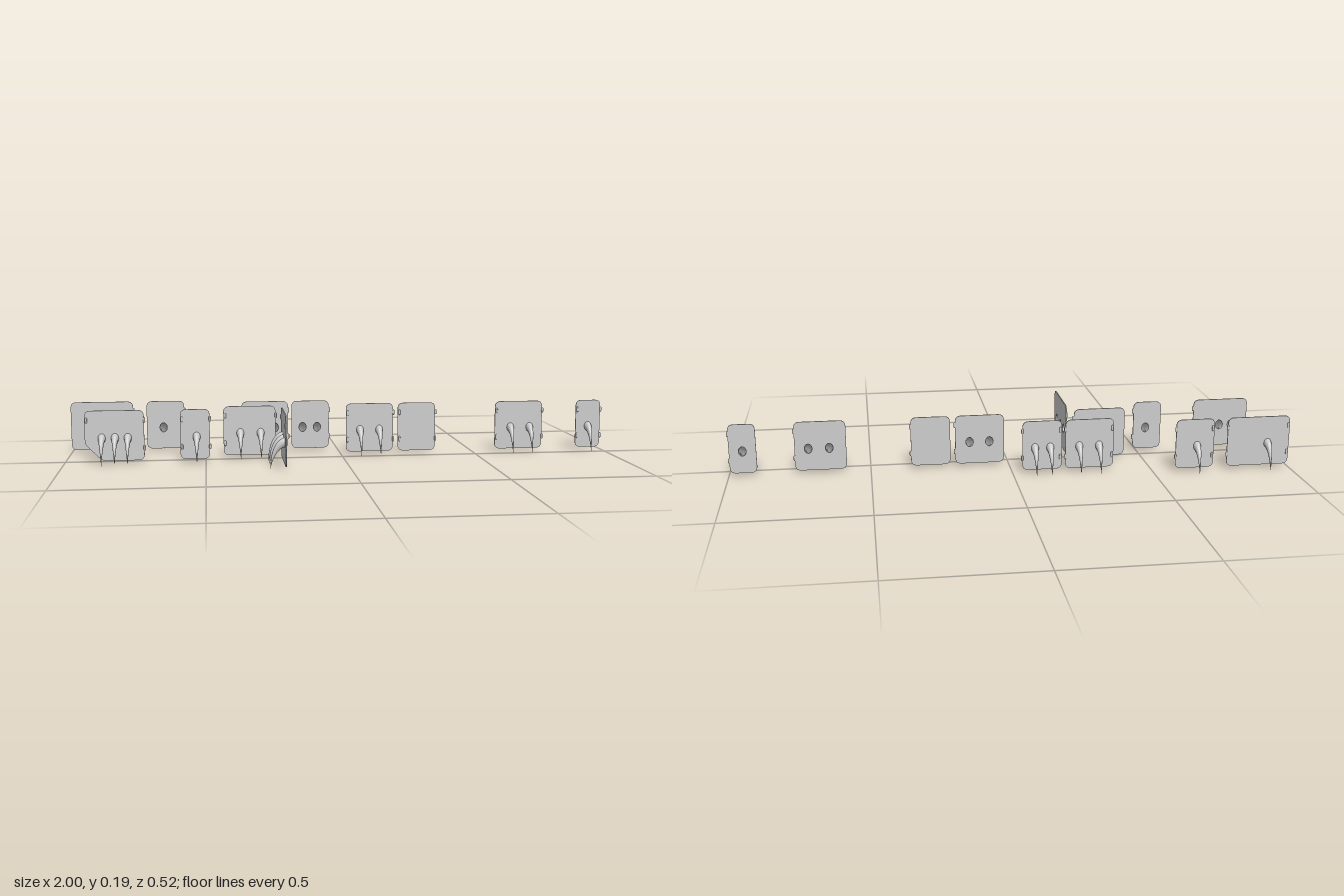
import * as THREE from 'three';
import { ParametricGeometry } from 'three/addons/geometries/ParametricGeometry.js';

const BOTTOM = 0.01, TOP = 0.19, THICK = 0.004, CORNER = 0.022;
const HORN_Y = 0.09, HORN_RX = 0.014, HORN_RY = 0.018;

const plateMaterial = new THREE.MeshStandardMaterial({ color: 0xcccccc });
const hornMaterial = new THREE.MeshStandardMaterial({ color: 0xcccccc, side: THREE.DoubleSide });

// Hollow horn: an elliptical section tapering along a curve that bends downwards
function hornGeometry() {
  const path = new THREE.CubicBezierCurve3(
    new THREE.Vector3(0, HORN_Y, 0), new THREE.Vector3(0, 0.087, 0.025),
    new THREE.Vector3(0, 0.05, 0.048), new THREE.Vector3(0, 0, 0.052));
  return new ParametricGeometry((t, v, out) => {
    const p = path.getPoint(t), dir = path.getTangent(t), a = -v * Math.PI * 2;
    const taper = Math.max(1 - t, 0.02);
    const w = Math.cos(a) * HORN_RX * taper, h = Math.sin(a) * HORN_RY * taper;
    out.set(p.x + w, p.y + h * dir.z, p.z - h * dir.y);
  }, 20, 24);
}

// Rounded plate outline with an oval opening behind each horn; cut slopes one lower corner
function plateGeometry(width, horns, cut) {
  const x = width / 2, r = CORNER, s = new THREE.Shape();
  s.moveTo(x - r, BOTTOM);
  s.quadraticCurveTo(x, BOTTOM, x, BOTTOM + r);
  s.lineTo(x, TOP - r);
  s.quadraticCurveTo(x, TOP, x - r, TOP);
  s.lineTo(-x + r, TOP);
  s.quadraticCurveTo(-x, TOP, -x, TOP - r);
  if (cut) {
    s.lineTo(-x, 0.085);
    s.quadraticCurveTo(-x, 0.07, -x + 0.01, 0.06);
    s.lineTo(-x + 0.05, BOTTOM + 0.01);
    s.quadraticCurveTo(-x + 0.06, BOTTOM, -x + 0.075, BOTTOM);
  } else {
    s.lineTo(-x, BOTTOM + r);
    s.quadraticCurveTo(-x, BOTTOM, -x + r, BOTTOM);
  }
  s.closePath();
  for (const h of horns) {
    const hole = new THREE.Path();
    hole.absellipse(h, HORN_Y, HORN_RX * 0.97, HORN_RY * 0.97, 0, Math.PI * 2, true);
    s.holes.push(hole);
  }
  const g = new THREE.ExtrudeGeometry(s, { depth: THICK, bevelEnabled: false, curveSegments: 12 });
  return g.translate(0, 0, -THICK / 2);
}

// Small upright fastening tab with rounded ends
function tabGeometry() {
  return new THREE.CapsuleGeometry(0.004, 0.012, 4, 10).scale(1, 1, 0.7);
}

const horn = hornGeometry(), tab = tabGeometry();

// One panel facing +z; tabSide is the edge where the tabs overhang
function makePanel(width, horns, tabSide, cut) {
  const panel = new THREE.Group();
  const add = (geometry, material, name, x = 0, y = 0, z = 0) => {
    const mesh = new THREE.Mesh(geometry, material);
    mesh.name = name;
    mesh.position.set(x, y, z);
    panel.add(mesh);
  };
  add(plateGeometry(width, horns, cut), plateMaterial, 'plate');
  for (const x of horns) add(horn, hornMaterial, 'horn', x);
  for (const y of [0.055, 0.155]) {
    add(tab, plateMaterial, 'edgeTab', tabSide * (width / 2 + 0.001), y, 0.003);
    if (!cut || y > 0.1) add(tab, plateMaterial, 'innerTab', -tabSide * (width / 2 - 0.006), y, 0.003);
  }
  return panel;
}

// Panels by extent along x, depth and horn positions
const PANELS = [
  { name: 'rearWidePanel', from: -1, to: -0.77, z: -0.207, horns: [-0.92], back: true },
  { name: 'rearSmallPanel', from: -0.72, to: -0.58, z: -0.207, horns: [-0.658], back: true },
  { name: 'rearMiddlePanel', from: -0.365, to: -0.19, z: -0.153, horns: [-0.312, -0.24], back: true },
  { name: 'rearInnerPanel', from: -0.177, to: -0.035, z: -0.153, horns: [-0.135, -0.08], back: true },
  { name: 'slopedPanel', from: -0.925, to: -0.717, z: 0.04, horns: [-0.866, -0.82, -0.775], cut: true },
  { name: 'frontNarrowPanel', from: -0.59, to: -0.485, z: 0.04, horns: [-0.532] },
  { name: 'frontMiddlePanel', from: -0.435, to: -0.245, z: -0.025, horns: [-0.374, -0.3] },
  { name: 'frontInnerPanel', from: 0.018, to: 0.195, z: -0.05, horns: [0.071, 0.143] },
  { name: 'plainPanel', from: 0.213, to: 0.355, z: -0.05, horns: [] },
  { name: 'frontOuterPanel', from: 0.585, to: 0.767, z: -0.05, horns: [0.645, 0.719] },
  { name: 'endPanel', from: 0.9, to: 0.995, z: -0.05, horns: [0.948] },
];

export function createModel() {
  const model = new THREE.Group();
  model.name = 'hornedPanels';
  for (const { name, from, to, z, horns, back, cut } of PANELS) {
    const mid = (from + to) / 2, sign = back ? -1 : 1;
    const panel = makePanel(to - from, horns.map((x) => (x - mid) * sign), sign, cut);
    panel.name = name;
    panel.position.set(mid, 0, z);
    if (back) panel.rotation.y = Math.PI;
    model.add(panel);
  }
  // Crosswise panel with its horns towards -x
  const mid = 0.135;
  const side = makePanel(0.236, [0.067, 0.128, 0.202].map((z) => z - mid), 1);
  side.name = 'crosswisePanel';
  side.position.set(-0.225, 0, mid);
  side.rotation.y = -Math.PI / 2;
  model.add(side);
  return model;
}
